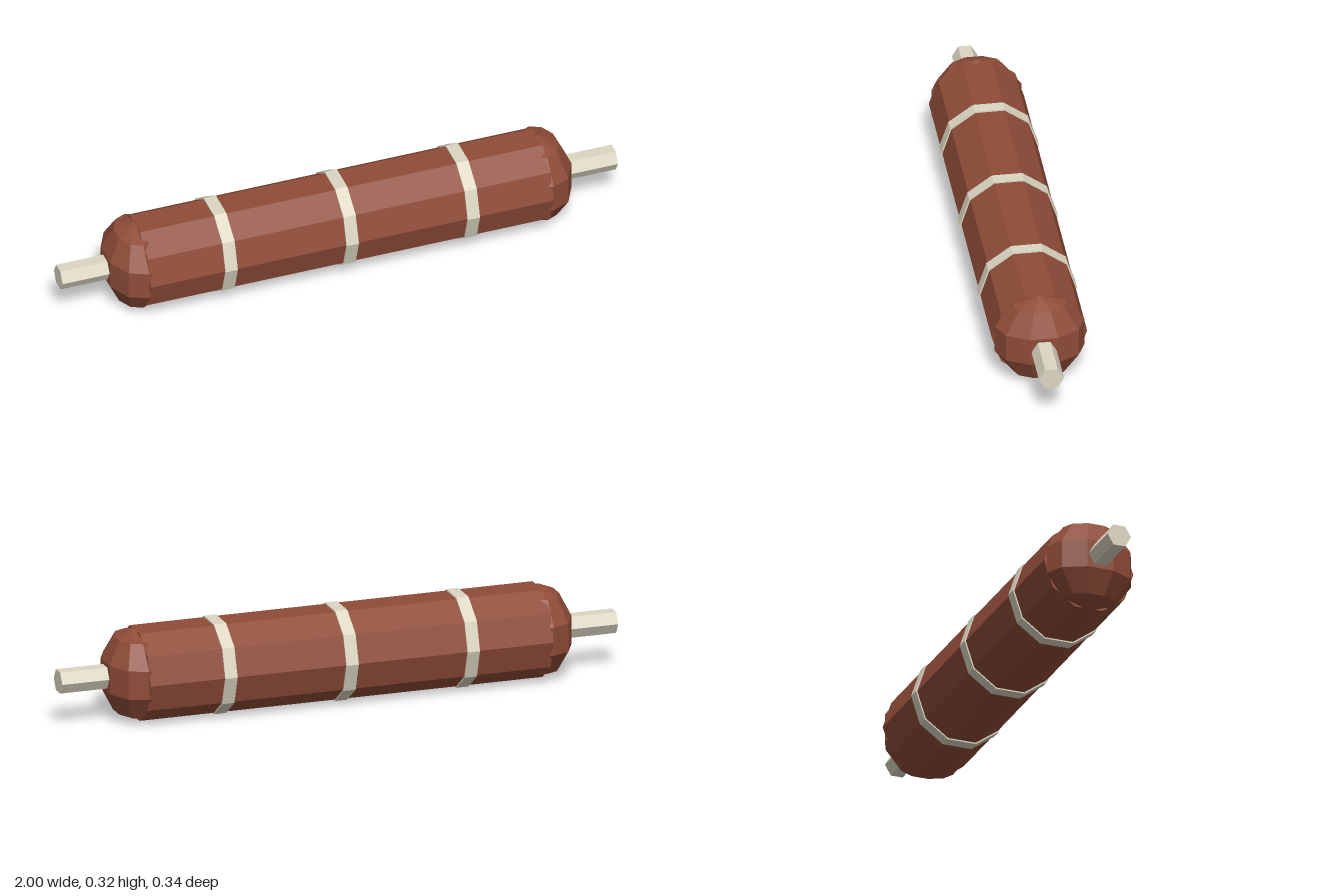
import * as THREE from 'three';

export function createModel() {
  const group = new THREE.Group();
  const clay = new THREE.MeshStandardMaterial({ color: 0x8f4c38, flatShading: true });
  clay.name = 'red brown casing';
  const pale = new THREE.MeshStandardMaterial({ color: 0xdcd6c2, flatShading: true });
  pale.name = 'pale metal';
  const AXIS_Y = 0.165;

  function add(name, geometry, material, x) {
    const mesh = new THREE.Mesh(geometry, material);
    mesh.name = name;
    mesh.position.set(x, AXIS_Y, 0);
    group.add(mesh);
  }

  // Prism lying along x
  const rod = (radius, length, sides) =>
    new THREE.CylinderGeometry(radius, radius, length, sides).rotateZ(Math.PI / 2);

  // Casing
  add('body', rod(0.163, 1.45, 10), clay, 0);

  // Flattened faceted end caps and wire leads
  for (const [side, label] of [[1, 'left'], [-1, 'right']]) {
    const cap = new THREE.SphereGeometry(0.162, 10, 5).rotateY(Math.PI / 2).scale(0.7, 1, 1);
    add(label + 'EndCap', cap, clay, side * 0.728);
    add(label + 'Lead', rod(0.043, 0.25, 6), pale, side * 0.875);
  }

  // Raised bands
  [-0.436, 0, 0.436].forEach((x, i) => add('band' + (i + 1), rod(0.168, 0.044, 10), pale, x));

  return group;
}
